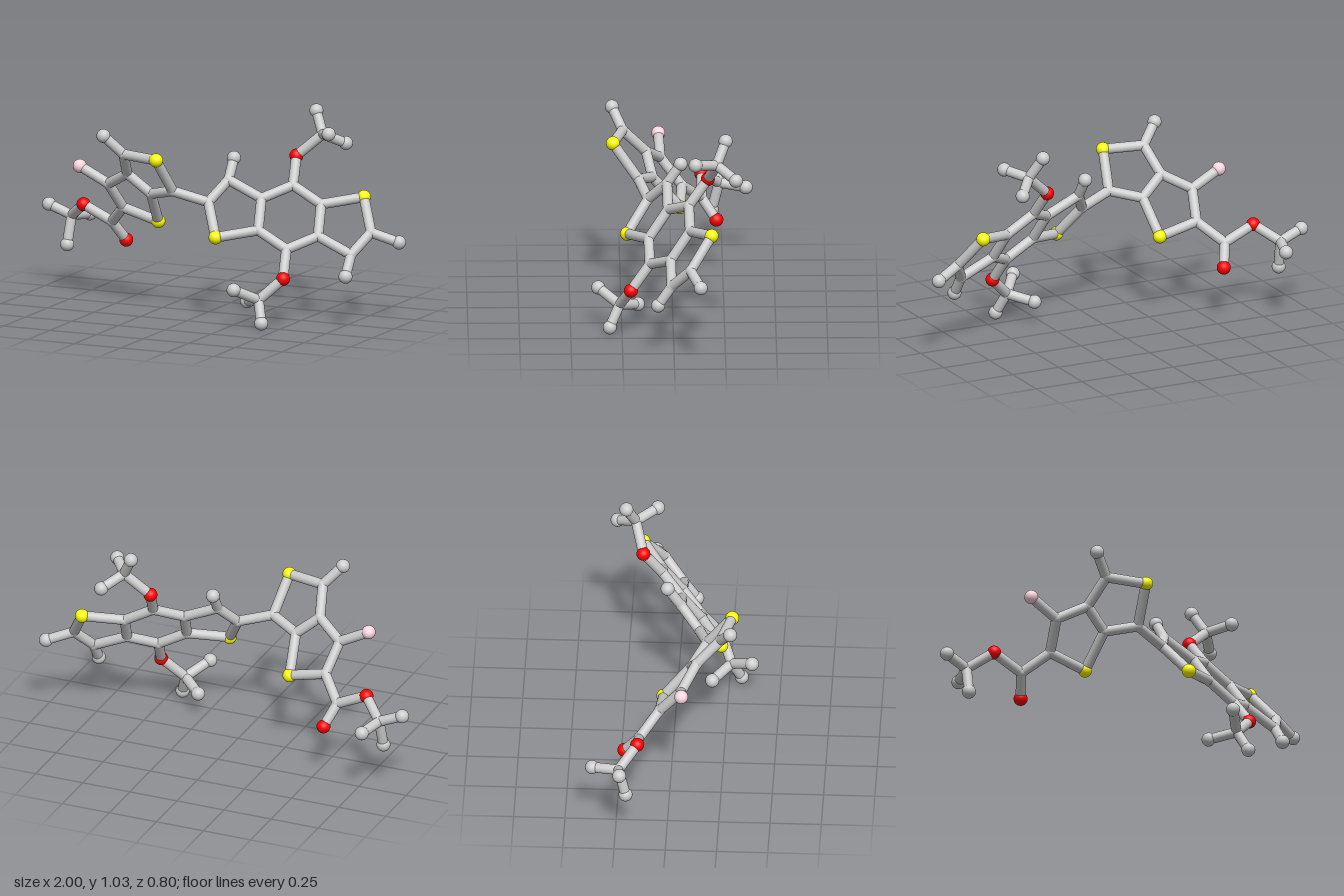
import * as THREE from 'three';

const BALL = 0.034, JOINT = 0.027, BOND = 0.025;
const material = (color) => new THREE.MeshStandardMaterial({ color });
const materials = {
  carbon: material(0xcccccc),
  hydrogen: material(0xcccccc),
  sulfur: material(0xffff00),
  oxygen: material(0xff0000),
  fluorine: material(0xffd5e0),
};
const ballGeometry = new THREE.SphereGeometry(BALL, 24, 16);
const jointGeometry = new THREE.SphereGeometry(JOINT, 24, 16);

// One ball; carbons are only rounded joints between bonds
function atom(kind, p) {
  const mesh = new THREE.Mesh(kind === 'carbon' ? jointGeometry : ballGeometry, materials[kind]);
  mesh.name = kind + (kind === 'carbon' ? 'Joint' : 'Ball');
  mesh.position.copy(p);
  return mesh;
}

// One round rod between two points
function bond(a, b) {
  const dir = b.clone().sub(a);
  const mesh = new THREE.Mesh(new THREE.CylinderGeometry(BOND, BOND, dir.length(), 20, 1, true), materials.carbon);
  mesh.name = 'bondRod';
  mesh.position.copy(a).add(b).multiplyScalar(0.5);
  mesh.quaternion.setFromUnitVectors(new THREE.Vector3(0, 1, 0), dir.normalize());
  return mesh;
}

const kinds = { C: 'carbon', H: 'hydrogen', S: 'sulfur', O: 'oxygen', F: 'fluorine' };

// Atoms by label: the first letter gives the kind
const parts = {
  fusedPairOfRings: {
    C1: [-0.515, 0.607, 0.055], C2: [-0.485, 0.473, -0.05], C3: [-0.265, 0.585, 0.095],
    C4: [-0.38, 0.68, 0.125], C5: [-0.345, 0.8, 0.24], C6: [-0.115, 0.623, 0.165],
    S1: [-0.29, 0.422, -0.04], S2: [-0.147, 0.795, 0.289],
    F1: [-0.665, 0.683, 0.063], H1: [-0.43, 0.893, 0.291],
  },
  esterBranch: {
    C7: [-0.59, 0.377, -0.147], O1: [-0.548, 0.276, -0.219], O2: [-0.745, 0.448, -0.148],
    C8: [-0.85, 0.37, -0.235], H2: [-0.968, 0.417, -0.226], H3: [-0.858, 0.23, -0.2],
    H4: [-0.814, 0.357, -0.365],
  },
  tripleRing: {},
  upperBranch: {
    C30: [0.515, 0.892, -0.21], H30: [0.46, 0.997, -0.254],
    H31: [0.596, 0.917, -0.106], H32: [0.596, 0.838, -0.303],
  },
  lowerBranch: {
    C31: [0.393, 0.143, 0.262], H33: [0.43, 0.038, 0.31],
    H34: [0.288, 0.112, 0.172], H35: [0.307, 0.203, 0.365],
  },
};

// Half of the triple ring; the other half is its reflection through the centre
const centre = [0.446, 0.515, 0.02];
const half = {
  C1: [0.419, 0.655, -0.075], C2: [0.296, 0.597, 0.025], C3: [0.324, 0.458, 0.12],
  C4: [0.12, 0.675, 0.028], C5: [0.055, 0.575, 0.12], S1: [0.142, 0.425, 0.223],
  O1: [0.393, 0.783, -0.168], H1: [0.118, 0.772, -0.038],
};
for (const [label, p] of Object.entries(half)) {
  parts.tripleRing[label + 'a'] = p;
  parts.tripleRing[label + 'b'] = p.map((v, i) => 2 * centre[i] - v);
}
parts.tripleRing.Hend = [0.965, 0.407, -0.128];

// Chains of joined atoms, stored under the part they belong to
const chains = {
  fusedPairOfRings: ['C1 C2 S1 C3 C4 C1 F1', 'C4 C5 S2 C6 C3', 'C5 H1'],
  esterBranch: ['C2 C7 O1', 'C7 O2 C8 H2', 'H3 C8 H4'],
  tripleRing: ['C6 C5a', 'C3a C1b', 'C3b C1a', 'C5b Hend'],
  upperBranch: ['O1a C30 H30', 'H31 C30 H32'],
  lowerBranch: ['O1b C31 H33', 'H34 C31 H35'],
};
for (const s of ['a', 'b'])
  for (const chain of ['O1 C1 C2 C3 S1 C5 C4 C2', 'C4 H1'])
    chains.tripleRing.push(chain.split(' ').map((n) => n + s).join(' '));

export function createModel() {
  const model = new THREE.Group();
  model.name = 'molecule';
  const points = {};
  for (const part of Object.values(parts))
    for (const [label, p] of Object.entries(part)) points[label] = new THREE.Vector3(...p);

  for (const [name, atoms] of Object.entries(parts)) {
    const group = new THREE.Group();
    group.name = name;
    for (const label of Object.keys(atoms)) group.add(atom(kinds[label[0]], points[label]));
    for (const chain of chains[name]) {
      const labels = chain.split(' ');
      for (let i = 1; i < labels.length; i++) group.add(bond(points[labels[i - 1]], points[labels[i]]));
    }
    model.add(group);
  }

  // Rest the lowest ball on the ground
  model.position.y = -new THREE.Box3().setFromObject(model).min.y;
  return model;
}
